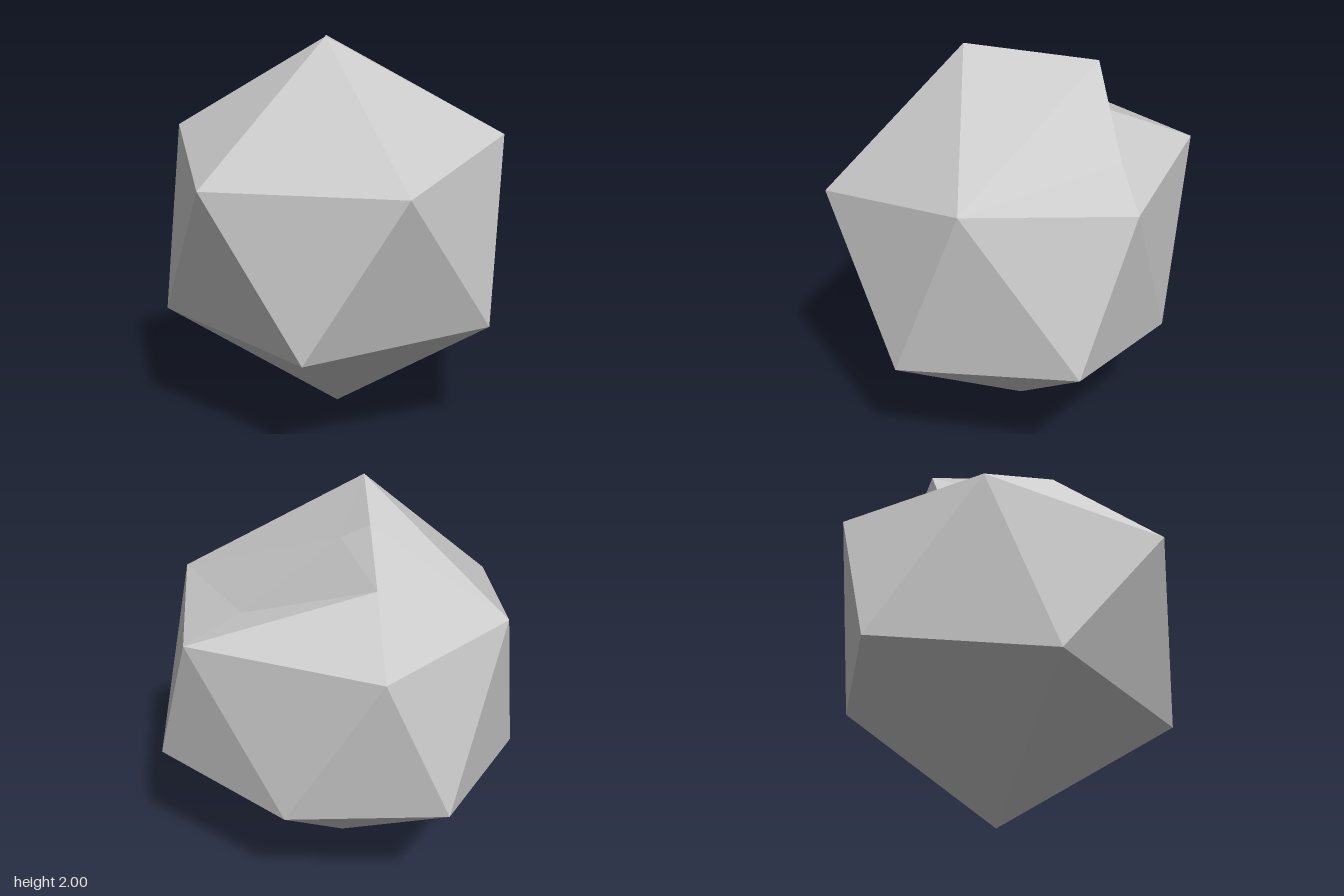
import * as THREE from 'three';

// corners of the stone; names ending in L are on the +x side and get an R twin
const corners = {
  crown: [0, 2, 0.25], front: [0, 0.51, 0.83], back: [0, 0.615, -0.835], foot: [0, 0, -0.06],
  browL: [0.5, 1.325, 0.8], sideL: [0.86, 1.495, -0.07], rearL: [0.5, 1.465, -0.81],
  lowL: [0.835, 0.585, 0.29], lowRearL: [0.77, 0.7, -0.635],
  // corners of the raised slab and of the notch beside it
  tip: [-0.13, 1.95, -0.41], ridge: [0.27, 1.61, -0.655],
  notch: [-0.28, 1.66, -0.32], crease: [-0.1, 1.815, 0.07],
};
for (const name of Object.keys(corners)) {
  if (!name.endsWith('L')) continue;
  const [x, y, z] = corners[name];
  corners[name.slice(0, -1) + 'R'] = [-x, y, z];
}

// each face is a convex fan listed counter-clockwise from outside
function facetMesh(name, faces) {
  const positions = [];
  for (const face of faces) {
    const ids = face.split(' ');
    for (let i = 1; i < ids.length - 1; i++) {
      for (const id of [ids[0], ids[i], ids[i + 1]]) positions.push(...corners[id]);
    }
  }
  const geometry = new THREE.BufferGeometry();
  geometry.setAttribute('position', new THREE.Float32BufferAttribute(positions, 3));
  geometry.computeVertexNormals();
  const mesh = new THREE.Mesh(geometry, new THREE.MeshStandardMaterial({ color: 0xcccccc, flatShading: true }));
  mesh.name = name;
  return mesh;
}

// mirrored face: swap sides and reverse the corner order
const mirror = (face) => face.split(' ').reverse()
  .map((id) => (id.endsWith('L') ? id.slice(0, -1) + 'R' : id)).join(' ');

export function createModel() {
  const group = new THREE.Group();
  group.name = 'facetedStone';

  // symmetric facets
  const half = [
    'crown browL sideL', 'browL front lowL', 'browL lowL sideL',
    'sideL lowL lowRearL', 'sideL lowRearL rearL', 'rearL lowRearL back',
    'front foot lowL', 'lowL foot lowRearL', 'lowRearL foot back',
  ];
  const middle = ['crown browR browL', 'browR front browL', 'rearL back rearR'];
  group.add(facetMesh('stoneBody', [...half, ...half.map(mirror), ...middle]));

  // raised slab on the +x side of the top
  group.add(facetMesh('raisedSlab', ['sideL rearL ridge tip crown']));

  // sunken facets beside the slab
  group.add(facetMesh('sunkenTop', ['crown crease sideR', 'notch rearR sideR crease', 'rearR notch rearL']));

  // steep walls between the slab and the sunken facets
  group.add(facetMesh('notchWalls', ['rearL notch ridge', 'ridge notch tip', 'tip notch crease', 'tip crease crown']));

  return group;
}
